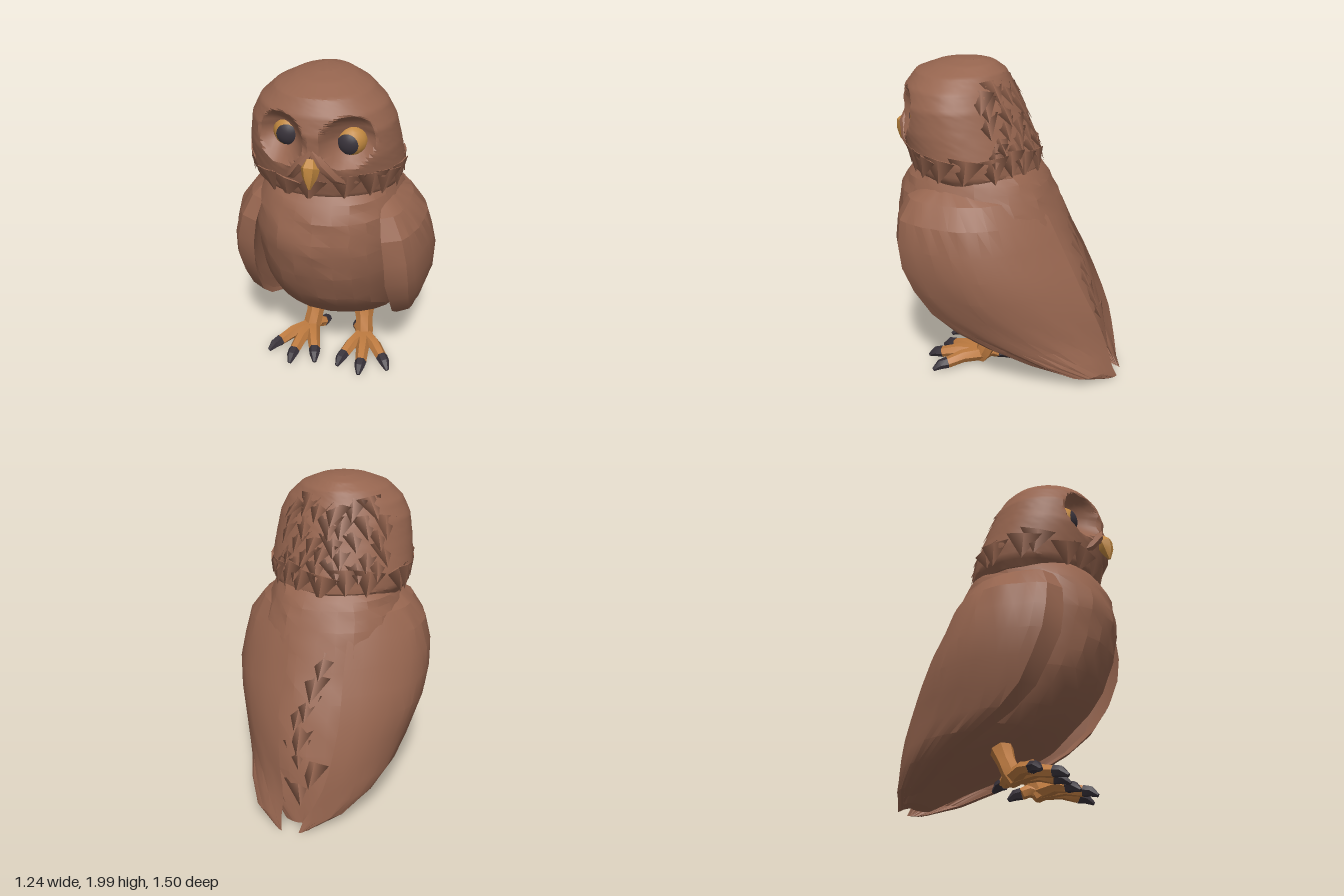
import * as THREE from 'three';
import { mergeGeometries, toCreasedNormals } from 'three/addons/utils/BufferGeometryUtils.js';

const mat = (name, color) => Object.assign(new THREE.MeshStandardMaterial({ color }), { name });
const V = (x, y, z) => new THREE.Vector3(x, y, z);
const { lerp, smoothstep } = THREE.MathUtils;

let seed = 7;
const rnd = () => ((seed = (seed * 16807) % 2147483647) / 2147483647);
const jit = (s) => (rnd() - 0.5) * s;

// Skin closed rings that run counter-clockwise around the direction of travel
function loft(rings, crease = 0.35) {
  const n = rings[0].length, pos = [], idx = [];
  rings.forEach((r) => r.forEach((p) => pos.push(p.x, p.y, p.z)));
  for (let i = 0; i < rings.length - 1; i++)
    for (let j = 0; j < n; j++) {
      const a = i * n + j, b = i * n + ((j + 1) % n);
      idx.push(a, b, a + n, b, b + n, a + n);
    }
  [rings[0], rings[rings.length - 1]].forEach((r, end) => {
    const c = r.reduce((s, p) => s.add(p), V(0, 0, 0)).divideScalar(n);
    const k = pos.length / 3, o = end ? (rings.length - 1) * n : 0;
    pos.push(c.x, c.y, c.z);
    for (let j = 0; j < n; j++) {
      const a = o + j, b = o + ((j + 1) % n);
      if (end) idx.push(k, a, b); else idx.push(k, b, a);
    }
  });
  const g = new THREE.BufferGeometry();
  g.setAttribute('position', new THREE.Float32BufferAttribute(pos, 3));
  g.setIndex(idx);
  return toCreasedNormals(g, crease);
}

// Tapered limb through points [x, y, z, radius]
function limb(pts, sides = 6) {
  const c = pts.map((p) => V(p[0], p[1], p[2]));
  return loft(c.map((p, i) => {
    const d = c[Math.min(i + 1, c.length - 1)].clone().sub(c[Math.max(i - 1, 0)]).normalize();
    const u = V(1, 0, 0).addScaledVector(d, -d.x).normalize(), v = d.clone().cross(u);
    return Array.from({ length: sides }, (_, j) => {
      const a = (j / sides) * Math.PI * 2, r = pts[i][3];
      return p.clone().addScaledVector(u, Math.cos(a) * r).addScaledVector(v, Math.sin(a) * r);
    });
  }), 0.5);
}

// Linear lookup in rows sorted by their first value
function sample(rows, y) {
  let i = 0;
  while (i < rows.length - 2 && y > rows[i + 1][0]) i++;
  const t = (y - rows[i][0]) / (rows[i + 1][0] - rows[i][0]);
  return rows[i].map((v, k) => lerp(v, rows[i + 1][k], t));
}

// Rows: height, front z, back z, half width
const BODY = [[0.02, -0.54, -0.66, 0.12], [0.1, -0.38, -0.65, 0.22], [0.2, -0.12, -0.64, 0.32],
  [0.26, 0.17, -0.62, 0.38], [0.36, 0.33, -0.61, 0.41], [0.5, 0.5, -0.57, 0.43], [0.65, 0.61, -0.52, 0.45],
  [0.85, 0.69, -0.43, 0.46], [1.05, 0.73, -0.34, 0.46], [1.2, 0.7, -0.27, 0.44], [1.32, 0.64, -0.2, 0.4],
  [1.42, 0.55, -0.1, 0.34]];
const HEAD = [[1.3, 0.56, -0.14, 0.4], [1.36, 0.62, -0.18, 0.44], [1.45, 0.65, -0.17, 0.455], [1.6, 0.69, -0.11, 0.44],
  [1.75, 0.69, -0.05, 0.415], [1.85, 0.66, 0, 0.365], [1.93, 0.6, 0.04, 0.28], [1.98, 0.47, 0.1, 0.17],
  [2, 0.36, 0.18, 0.07]];
// Rows: height, front z, back z, front x, back x, outer x
const WING = [[0.01, -0.64, -0.75, 0.16, 0.11, 0.17], [0.08, -0.45, -0.72, 0.27, 0.12, 0.33],
  [0.18, -0.2, -0.69, 0.36, 0.12, 0.41], [0.28, 0.06, -0.66, 0.4, 0.13, 0.46], [0.38, 0.26, -0.63, 0.42, 0.15, 0.51],
  [0.5, 0.42, -0.58, 0.42, 0.17, 0.56], [0.65, 0.53, -0.51, 0.42, 0.19, 0.61], [0.8, 0.6, -0.44, 0.41, 0.19, 0.63],
  [0.95, 0.62, -0.36, 0.4, 0.18, 0.62], [1.1, 0.61, -0.29, 0.38, 0.18, 0.58], [1.22, 0.55, -0.18, 0.36, 0.22, 0.49],
  [1.28, 0.44, 0.02, 0.35, 0.31, 0.4]];

const pw = (v, p) => Math.sign(v) * Math.abs(v) ** p;
function surface(rows, a, y, p, cx = 0) {
  const [, zf, zb, w] = sample(rows, y);
  return V(cx + w * pw(Math.sin(a), p), y, (zf + zb) / 2 + ((zf - zb) / 2) * pw(Math.cos(a), p));
}
// The back of the head is narrower than the face
const headPoint = (a, y) => surface(HEAD, a, y, Math.cos(a) < 0 ? 1.1 : 0.98, -0.02);
const bodyPoint = (a, y) => surface(BODY, a, y, 0.9);

// Hollow the sockets around both eyes, leaving a ridge between them
function sculptFace(p) {
  if (p.z < 0.3) return p;
  for (const s of [-1, 1]) {
    const k = Math.hypot((p.x - s * 0.185) / 0.145, (p.y - 1.7) / 0.155);
    if (k < 1) p.z -= 0.14 * (1 - k * k);
  }
  return p;
}

function ringStack(rows, count, sides, point, noise) {
  const y0 = rows[0][0], y1 = rows[rows.length - 1][0];
  return Array.from({ length: count + 1 }, (_, i) => {
    const y = y0 + (y1 - y0) * Math.sin(((i / count) * Math.PI) / 2);
    return Array.from({ length: sides }, (_, j) =>
      point((j / sides) * Math.PI * 2, y).add(V(jit(noise), 0, jit(noise))));
  });
}

function wingRings(s) {
  const n = 16;
  return WING.map(([y, zf, zb, xf, xb, xo]) => {
    // The right wing sits further back and its tip crosses the middle
    const front = s < 0 ? zf - 0.05 * smoothstep(y, 0.3, 0.7) : zf;
    const shift = s < 0 ? 0.12 * (1 - smoothstep(y, 0, 0.3)) : 0;
    const ring = [];
    for (let j = 0; j < 2 * n; j++) {
      const outer = j <= n, t = outer ? j / n : 2 - j / n;
      const bulge = (xo - (xf * 0.55 + xb * 0.45)) * Math.sin(Math.PI * t ** 1.12) ** (0.42 + 0.42 * t);
      const x = lerp(xf, xb, t) + bulge * (outer ? 1 : 0.25) + jit(0.01);
      ring.push(V(s * x + shift, y, lerp(front, zb, t)));
    }
    return s < 0 ? ring.reverse() : ring;
  });
}

// Flat pointed feather lying along a surface, its tip slightly lifted
function feather(point, a, y, w, len) {
  const p = point(a, y), lo = point(a, y - 0.04), hi = point(a, y + 0.04);
  const slope = Math.atan2((lo.x - hi.x) * Math.sin(a) + (lo.z - hi.z) * Math.cos(a), 0.08);
  const g = new THREE.ConeGeometry(w, len, 4);
  g.rotateX(Math.PI).scale(1, 1, 0.1).rotateZ(jit(0.5)).rotateX(-slope - 0.14).rotateY(a);
  return g.translate(p.x, p.y, p.z);
}

export function createModel() {
  const owl = new THREE.Group();
  owl.name = 'owl';
  const brown = mat('plumageBrown', 0x96654f), orange = mat('legOrange', 0xbe7b40),
    gold = mat('beakGold', 0xc0873f), black = mat('clawBlack', 0x38323a);
  const add = (name, geo, m, parent = owl) => {
    const mesh = new THREE.Mesh(geo, m);
    mesh.name = name;
    parent.add(mesh);
    return mesh;
  };

  add('body', loft(ringStack(BODY, 20, 28, bodyPoint, 0.016)), brown);
  add('head', loft(ringStack(HEAD, 56, 88, (a, y) => sculptFace(headPoint(a, y)), 0.002), 0.5), brown);

  // Ruff, nape and back feathers
  const nape = [], back = [];
  for (let i = 0; i < 18; i++)
    nape.push(feather(headPoint, (i / 18) * Math.PI * 2 + jit(0.25), 1.41 + jit(0.05), 0.11, 0.16));
  for (let r = 0; r < 5; r++)
    for (let i = 0; i < 6; i++) {
      const a = Math.PI + (i - 2.75 + (r % 2) / 2) * 0.32 + jit(0.16);
      nape.push(feather(headPoint, a, 1.48 + r * 0.085 + jit(0.05), 0.09, 0.16));
    }
  for (let r = 0; r < 8; r++)
    back.push(feather(bodyPoint, Math.PI + jit(0.3), 0.25 + r * 0.1 + jit(0.05), 0.09, 0.18));
  add('napeFeathers', mergeGeometries(nape), brown);
  add('backFeathers', mergeGeometries(back), brown);

  for (const s of [1, -1]) {
    const side = s > 0 ? 'left' : 'right';
    add(side + 'Wing', loft(wingRings(s)), brown);
    // Bristle ridge running from the beak down the cheek
    add(side + 'CheekRidge', limb([[0, 1.66, 0.675, 0.02], [s * 0.05, 1.59, 0.68, 0.035], [s * 0.12, 1.5, 0.645, 0.03],
      [s * 0.18, 1.45, 0.6, 0.01]]), brown);

    // Eye with a thin pupil cap
    const eye = new THREE.Group();
    eye.name = side + 'Eye';
    eye.position.set(s * 0.178, s > 0 ? 1.67 : 1.69, 0.487);
    eye.rotation.y = -s * 0.06;
    owl.add(eye);
    add('iris', new THREE.SphereGeometry(0.095, 16, 12), gold, eye);
    add('pupil', new THREE.SphereGeometry(0.098, 14, 5, 0, Math.PI * 2, 0, 0.68).rotateX(Math.PI / 2), black, eye);

    // Leg, toes and claws
    const leg = new THREE.Group();
    leg.name = side + 'Leg';
    owl.add(leg);
    add('shank', limb([[s * 0.16, 0.36, 0.02, 0.08], [s * 0.16, 0.25, 0.055, 0.072], [s * 0.17, 0.17, 0.09, 0.057],
      [s * 0.18, 0.09, 0.13, 0.06], [s * 0.18, 0.03, 0.16, 0.045]], 7), orange, leg);
    const toes = [['outer', 0.28, 0.25, 0.345, 0.33, 0.4, 0.41], ['middle', 0.21, 0.3, 0.225, 0.41, 0.23, 0.5],
      ['inner', 0.13, 0.28, 0.1, 0.36, 0.075, 0.45], ['rear', 0.15, 0.09, 0.12, 0.05, 0.1, -0.03]];
    for (const [name, mx, mz, ex, ez, cx, cz] of toes) {
      add(name + 'Toe', limb([[s * 0.18, 0.07, 0.14, 0.05], [s * mx, 0.08, mz, 0.042], [s * ex, 0.055, ez, 0.036]]),
        orange, leg);
      add(name + 'Claw', limb([[s * ex, 0.057, ez, 0.038], [s * (ex + cx) / 2, 0.05, (ez + cz) / 2, 0.033],
        [s * cx, 0.02, cz, 0.012]]), black, leg);
    }
  }

  add('beak', limb([[0, 1.61, 0.675, 0.035], [0, 1.57, 0.7, 0.055], [0, 1.52, 0.715, 0.043], [0, 1.455, 0.73, 0.008]]), gold);
  return owl;
}
